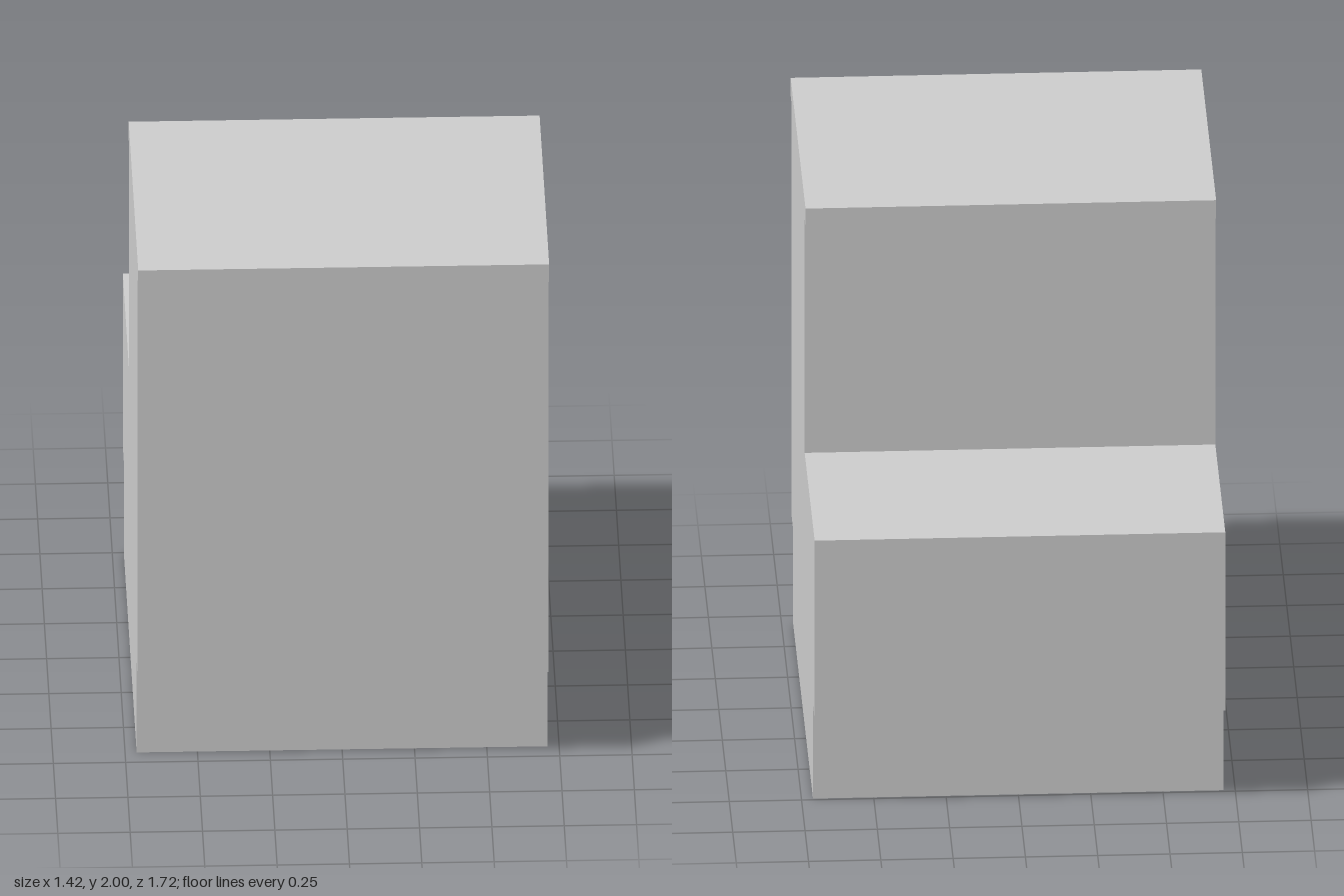
import * as THREE from 'three';

const WIDTH = 1.42;

// Side silhouette as [z, y] corners, counter-clockwise from the plinth's back
const PROFILE = [
  [-0.74, 0], [0.68, 0], [0.68, 0.36],         // recessed plinth
  [0.8, 0.36], [0.8, 1.93],                    // front panel
  [0.86, 1.93], [0.86, 2], [-0.205, 2], [-0.205, 1.93], // overhanging top
  [-0.145, 1.93], [-0.145, 1.04],              // upper back
  [-0.86, 1.04], [-0.86, 0.36], [-0.74, 0.36], // lower rear ledge
];

export function createModel() {
  const group = new THREE.Group();
  group.name = 'steppedCounter';

  const shape = new THREE.Shape(PROFILE.map(([z, y]) => new THREE.Vector2(z, y)));
  const geometry = new THREE.ExtrudeGeometry(shape, { depth: WIDTH, bevelEnabled: false });
  geometry.translate(0, 0, -WIDTH / 2);
  geometry.rotateY(-Math.PI / 2); // silhouette's horizontal axis becomes z

  const counter = new THREE.Mesh(geometry, new THREE.MeshStandardMaterial({ color: 0xcccccc }));
  counter.name = 'counterBody';
  group.add(counter);
  return group;
}
